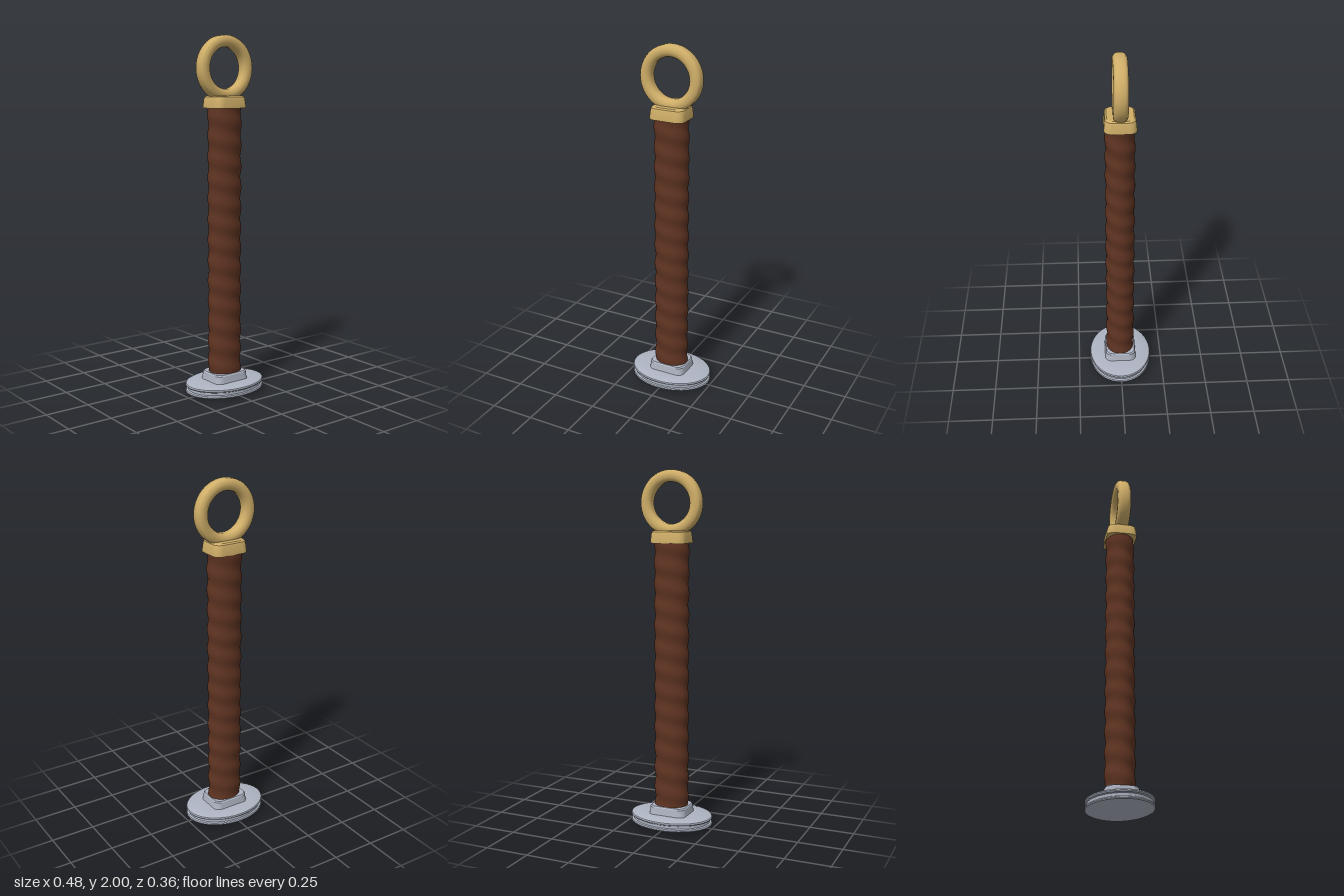
import * as THREE from 'three';
import { toCreasedNormals } from 'three/addons/utils/BufferGeometryUtils.js';

const V2 = (p) => new THREE.Vector2(p[0], p[1]);

// Skin a stack of equal-length rings of [x, y, z] points, bottom to top.
function loft(rings) {
  const n = rings[0].length, index = [];
  for (let r = 0; r < rings.length - 1; r++) {
    for (let i = 0; i < n; i++) {
      const a = r * n + i, b = r * n + (i + 1) % n;
      index.push(a, a + n, b, b, a + n, b + n);
    }
  }
  const g = new THREE.BufferGeometry();
  g.setAttribute('position', new THREE.Float32BufferAttribute(rings.flat(2), 3));
  g.setIndex(index);
  return toCreasedNormals(g, 0.5);
}

// Rounded rectangle ring of half sizes a and b at height y.
function roundedRing(a, b, y, radius) {
  const ring = [], steps = 6, r = Math.min(radius, a, b);
  for (let c = 0; c < 4; c++) {
    const sx = c === 0 || c === 3 ? 1 : -1, sz = c < 2 ? 1 : -1;
    for (let i = 0; i <= steps; i++) {
      const t = (c + i / steps) * Math.PI / 2;
      ring.push([sx * (a - r) + r * Math.cos(t), y, sz * (b - r) + r * Math.sin(t)]);
    }
  }
  return ring;
}

// Closed rounded block from [half width, half depth, height] levels.
function roundedBlock(levels, radius) {
  const rings = levels.map(([a, b, y]) => roundedRing(a, b, y, radius));
  const bottom = levels[0][2], top = levels[levels.length - 1][2];
  return loft([roundedRing(0, 0, bottom, 0), ...rings, roundedRing(0, 0, top, 0)]);
}

export function createModel() {
  const material = (name, color) => {
    const m = new THREE.MeshStandardMaterial({ color });
    m.name = name;
    return m;
  };
  const steel = material('steel', 0xaeb4c2);
  const leather = material('brown leather', 0x5e3321);
  const brass = material('brass', 0xcfae68);

  const model = new THREE.Group();
  model.name = 'hilt';
  const add = (name, geometry, mat) => {
    const mesh = new THREE.Mesh(geometry, mat);
    mesh.name = name;
    model.add(mesh);
    return mesh;
  };

  // Oval guard with a groove around its rim
  const guard = new THREE.LatheGeometry([
    [0, 0], [0.15, 0.003], [0.225, 0.008], [0.237, 0.012], [0.241, 0.018],
    [0.237, 0.025], [0.227, 0.029], [0.227, 0.043], [0.237, 0.047],
    [0.241, 0.054], [0.237, 0.061], [0.225, 0.065], [0.15, 0.069], [0, 0.071],
  ].map(V2), 40);
  guard.scale(1, 1, 0.755);
  add('guard', toCreasedNormals(guard, 0.6), steel);

  // Collar between guard and grip
  add('collar', roundedBlock([
    [0.113, 0.093, 0.062], [0.109, 0.09, 0.085], [0.107, 0.088, 0.11], [0.102, 0.083, 0.117],
  ], 0.04), steel);

  // Oval grip with a shallow spiral ripple
  const grip = [], rows = 156, sides = 40, turns = 13;
  for (let r = 0; r <= rows; r++) {
    const v = r / rows, ring = [];
    for (let i = 0; i < sides; i++) {
      const t = i / sides * Math.PI * 2;
      const ripple = 0.0035 * Math.cos(v * turns * Math.PI * 2 - t);
      ring.push([(0.097 + ripple) * Math.cos(t), 0.11 + v * 1.51, (0.08 + ripple) * Math.sin(t)]);
    }
    grip.push(ring);
  }
  add('grip', loft(grip), leather);

  // Cap on the end of the grip
  add('pommelCap', roundedBlock([
    [0.103, 0.087, 1.606], [0.103, 0.087, 1.615], [0.099, 0.083, 1.655],
    [0.096, 0.08, 1.667], [0.088, 0.072, 1.674],
  ], 0.04), brass);

  // Ring pommel with chamfered edges
  const ring = new THREE.LatheGeometry([
    [0.114, -0.018], [0.12, -0.029], [0.136, -0.038], [0.157, -0.038], [0.172, -0.029], [0.178, -0.016],
    [0.178, 0.016], [0.172, 0.029], [0.157, 0.038], [0.136, 0.038], [0.12, 0.029], [0.114, 0.018],
    [0.114, -0.018],
  ].map(V2), 48);
  ring.rotateX(Math.PI / 2);
  add('ringPommel', toCreasedNormals(ring, 0.6), brass).position.y = 1.822;

  return model;
}
